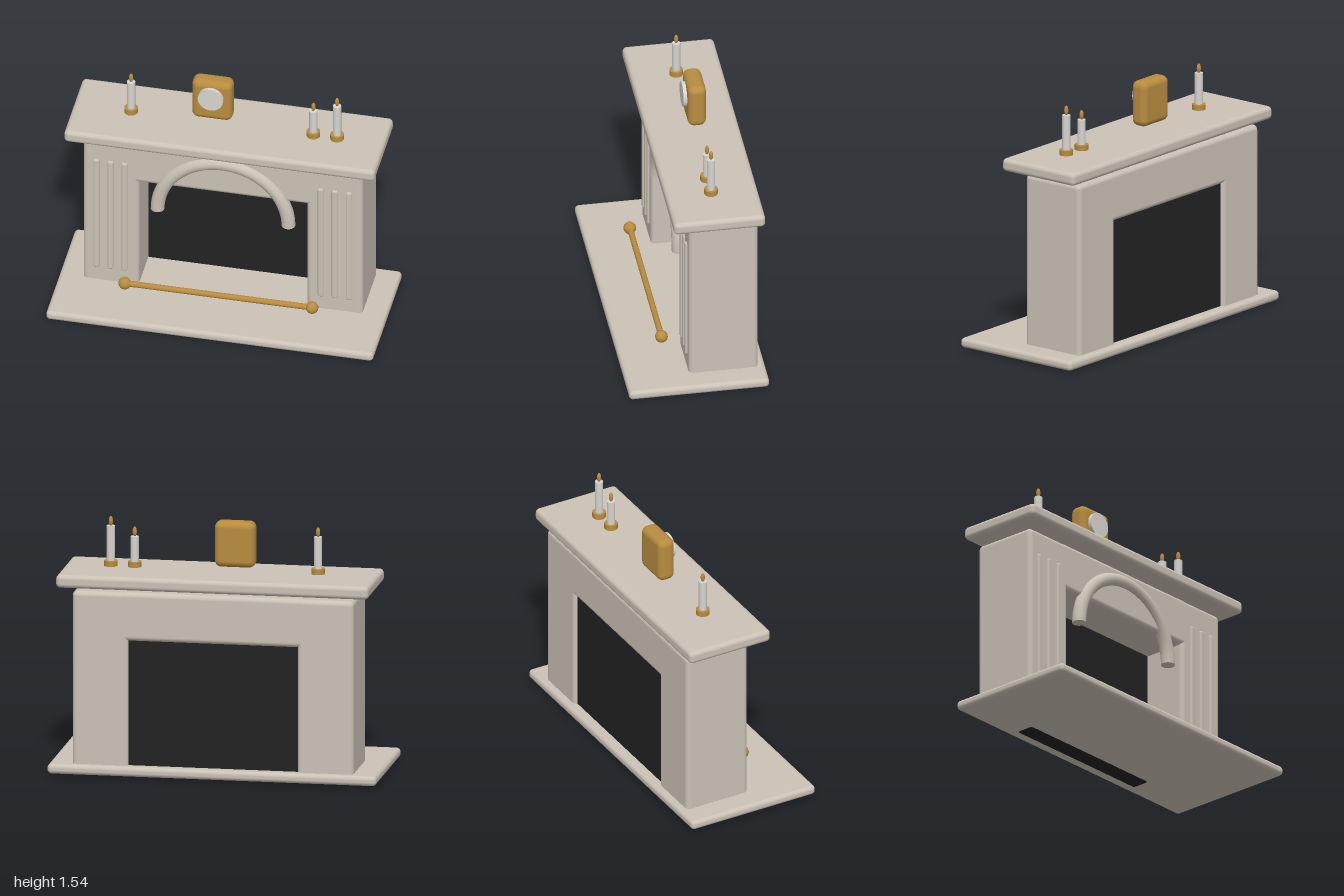
import * as THREE from 'three';
import { RoundedBoxGeometry } from 'three/addons/geometries/RoundedBoxGeometry.js';

export function createModel() {
  const model = new THREE.Group();
  model.name = 'fireplace';

  const material = (name, color) => {
    const m = new THREE.MeshStandardMaterial({ color });
    m.name = name;
    return m;
  };
  const stone = material('stone', 0xcbc2b6);
  const soot = material('soot', 0x222222);
  const brass = material('brass', 0xb88c3e);
  const wax = material('wax', 0xd8d5d0);

  const add = (name, geometry, mat, x = 0, y = 0, z = 0, parent = model) => {
    const mesh = new THREE.Mesh(geometry, mat);
    mesh.name = name;
    mesh.position.set(x, y, z);
    parent.add(mesh);
    return mesh;
  };
  // Rounded box given by its limits on each axis
  const block = (name, mat, [x0, x1], [y0, y1], [z0, z1], radius) =>
    add(name, new RoundedBoxGeometry(x1 - x0, y1 - y0, z1 - z0, 4, radius), mat,
      (x0 + x1) / 2, (y0 + y1) / 2, (z0 + z1) / 2);

  // Stone surround
  block('hearth', stone, [-1, 1], [0.008, 0.068], [-0.425, 0.425], 0.025);
  block('lintel', stone, [-0.57, 0.57], [0.83, 1.127], [-0.38, 0.04], 0.03);
  block('mantelShelf', stone, [-0.95, 0.95], [1.145, 1.225], [-0.41, 0.145], 0.027);
  block('firebox', soot, [-0.53, 0.53], [0, 0.86], [-0.36, -0.235], 0.025);

  for (const side of [-1, 1]) {
    const span = (a, b) => (side > 0 ? [a, b] : [-b, -a]);
    block('pillar', stone, span(0.513, 0.855), [0.04, 1.125], [-0.38, 0.04], 0.03);
    for (const x of [0.6, 0.686, 0.772]) {
      block('flute', stone, span(x - 0.018, x + 0.018), [0.16, 0.97], [0.02, 0.053], 0.012);
    }
  }

  // Half-ring moulding with closed ends
  add('arch', new THREE.TorusGeometry(0.4, 0.042, 16, 64, Math.PI), stone, 0, 0.652, 0.028);
  for (const x of [-0.4, 0.4]) {
    add('archEnd', new THREE.CircleGeometry(0.042, 16), stone, x, 0.652, 0.028).rotation.x = Math.PI / 2;
  }

  // Fender rail
  add('fenderRail', new THREE.CylinderGeometry(0.018, 0.018, 1.15, 20), brass, 0, 0.157, 0.16).rotation.z = Math.PI / 2;
  for (const x of [-0.573, 0.573]) {
    add('fenderBall', new THREE.SphereGeometry(0.038, 24, 16), brass, x, 0.157, 0.16);
  }

  // Mantel clock
  block('clockCase', brass, [-0.222, 0.024], [1.265, 1.545], [-0.208, -0.097], 0.04);
  add('clockFace', new THREE.CylinderGeometry(0.077, 0.077, 0.04, 32), wax, -0.1, 1.435, -0.095).rotation.x = Math.PI / 2;

  // Candles: position along the shelf and height of the wax top
  for (const [x, top] of [[-0.595, 1.46], [0.52, 1.42], [0.665, 1.48]]) {
    const candle = new THREE.Group();
    candle.name = 'candle';
    candle.position.set(x, 0, -0.125);
    model.add(candle);
    add('candleHolder', new THREE.CylinderGeometry(0.041, 0.041, 0.033, 24), brass, 0, 1.25, 0, candle);
    add('candleStick', new THREE.CylinderGeometry(0.025, 0.025, top - 1.25, 20), wax, 0, (top + 1.25) / 2, 0, candle);
    add('flame', new THREE.SphereGeometry(0.013, 16, 12), brass, 0, top + 0.028, 0, candle).scale.y = 2.3;
  }

  return model;
}
